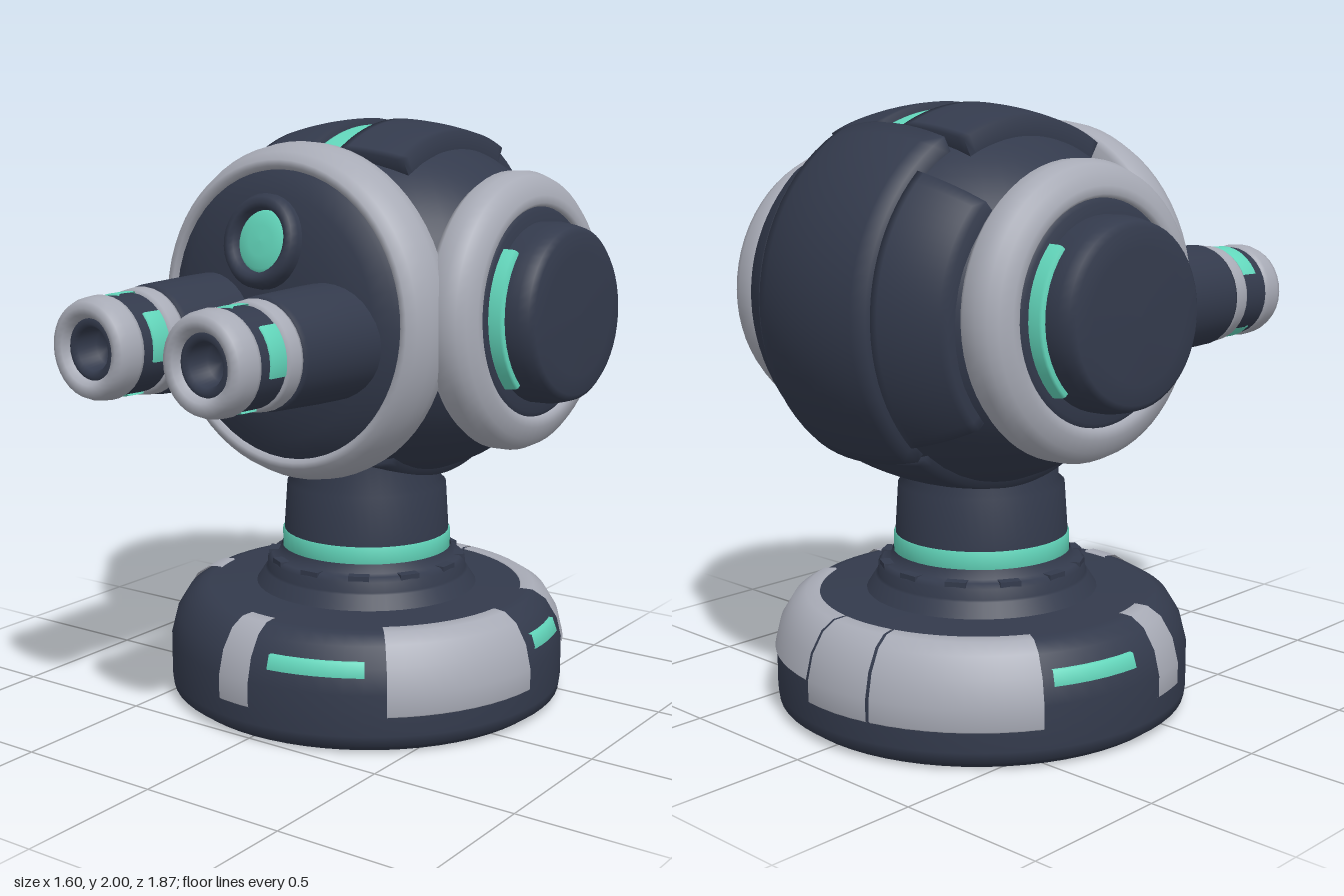
import * as THREE from 'three';

const mat = (name, color) => {
  const m = new THREE.MeshStandardMaterial({ color, side: THREE.DoubleSide });
  m.name = name;
  return m;
};
const rad = THREE.MathUtils.degToRad;

export function createModel() {
  const dark = mat('dark navy', 0x333a4c);
  const grey = mat('light grey', 0xa8abb6);
  const teal = mat('teal glow', 0x62d6bb);

  const add = (parent, name, geometry, material) => {
    const mesh = new THREE.Mesh(geometry, material);
    mesh.name = name;
    parent.add(mesh);
    return mesh;
  };
  const group = (parent, name) => {
    const g = new THREE.Group();
    g.name = name;
    parent.add(g);
    return g;
  };
  // Turned part from [radius, height] pairs; the optional angles in degrees cut a sector
  const turned = (pts, from = 0, to = 360, segs = 48) => new THREE.LatheGeometry(
    pts.map(p => new THREE.Vector2(p[0], p[1])),
    Math.max(4, Math.round(segs * (to - from) / 360)), rad(from), rad(to - from));

  // Raised shell plate on the head: x range, angle t from the top toward the back, rim turned inward
  const plate = (x0, x1, t0, t1, R, k, drop = 0.06) => {
    const nu = 12, nv = 24, pos = [], idx = [];
    const step = (i, n) => Math.min(1, Math.max(0, (i - 1) / (n - 2)));
    for (let j = 0; j <= nv; j++) for (let i = 0; i <= nu; i++) {
      const x = x0 + (x1 - x0) * step(i, nu);
      const t = t0 + (t1 - t0) * step(j, nv);
      const rim = i === 0 || j === 0 || i === nu || j === nv;
      const r = Math.sqrt(R * R - k * x * x) - (rim ? drop : 0);
      pos.push(x, r * Math.cos(t), -r * Math.sin(t));
    }
    for (let j = 0; j < nv; j++) for (let i = 0; i < nu; i++) {
      const a = j * (nu + 1) + i, b = a + 1, c = a + nu + 1, d = c + 1;
      idx.push(a, b, d, a, d, c);
    }
    const g = new THREE.BufferGeometry();
    g.setAttribute('position', new THREE.Float32BufferAttribute(pos, 3));
    g.setIndex(idx);
    g.computeVertexNormals();
    return g;
  };

  const root = new THREE.Group();
  root.name = 'turret';

  // Base with inlaid panels and lights
  const base = group(root, 'base');
  base.position.z = -0.18;
  add(base, 'baseBody', turned([[0, 0], [0.655, 0], [0.66, 0.01], [0.69, 0.025], [0.695, 0.06], [0.695, 0.2],
    [0.675, 0.28], [0.635, 0.345], [0.59, 0.372], [0.56, 0.376], [0.36, 0.385]], 0, 360, 64), dark);
  const greyPanels = [[-9.5, 1, 0.11], [40, 86, 0.12], [113, 171.5, 0.19], [172.5, 193.5, 0.12],
    [194.5, 240, 0.12], [278, 290, 0.12]];
  for (const [a, b, low] of greyPanels) add(base, 'basePanel', turned([[0.69, low], [0.701, low + 0.01],
    [0.701, 0.2], [0.681, 0.283], [0.64, 0.35], [0.594, 0.379], [0.55, 0.382], [0.545, 0.37]], a, b, 72), grey);
  for (const [a, b] of [[6.5, 34], [90, 108], [243, 269]])
    add(base, 'baseLight', turned([[0.675, 0.254], [0.69, 0.256], [0.674, 0.302], [0.655, 0.303]], a, b, 72), teal);

  // Stepped collar, glowing band and neck
  add(base, 'collar', turned([[0.4, 0.37], [0.385, 0.39], [0.36, 0.43], [0.352, 0.435], [0.35, 0.47],
    [0.335, 0.485], [0.31, 0.49], [0.3, 0.52]]), dark);
  for (let i = 0; i < 12; i++) {
    const a = i * Math.PI / 6;
    const bolt = add(base, 'collarBolt', new THREE.BoxGeometry(0.07, 0.018, 0.035), dark);
    bolt.position.set(0.328 * Math.sin(a), 0.481, 0.328 * Math.cos(a));
    bolt.rotation.y = a;
  }
  add(base, 'neckLight', turned([[0.28, 0.51], [0.296, 0.512], [0.296, 0.575], [0.28, 0.58]]), teal);
  add(base, 'neck', turned([[0.29, 0.56], [0.29, 0.59], [0.28, 0.745], [0.26, 0.76], [0.255, 0.9]]), dark);

  // Head, turned slightly to one side
  const head = group(root, 'head');
  head.position.set(0, 1.375, -0.28);
  head.rotation.y = -0.05;
  const core = add(head, 'headCore', new THREE.SphereGeometry(0.6, 48, 32), dark);
  core.scale.set(1.17, 1, 1.03);
  core.position.y = -0.01;
  add(head, 'backBand', plate(-0.26, 0.26, 0.5, 2.4, 0.645, 0.8), dark);
  add(head, 'chinPlate', plate(-0.27, 0.27, 2.42, 3.7, 0.615, 0.5), dark);
  for (const s of [-1, 1]) {
    const [a, b] = s > 0 ? [0.06, 0.31] : [-0.32, -0.06];
    add(head, 'topPlate', plate(a, b, -0.56, 0.47, 0.627, 0.5), dark);
    const [c, d] = s > 0 ? [0.27, 0.48] : [-0.48, -0.27];
    add(head, 'backSidePlate', plate(c, d, 0.75, 2.3, 0.637, 0.77), dark);
  }
  add(head, 'topLight', plate(-0.066, 0.066, -0.53, 0.48, 0.604, 0.5, 0.02), teal);

  // Face dome and its frame, turned about the forward axis
  const face = group(head, 'face');
  face.rotation.x = Math.PI / 2;
  add(face, 'faceFrame', turned([[0.47, 0.375], [0.54, 0.38], [0.556, 0.4], [0.56, 0.44], [0.552, 0.49],
    [0.53, 0.535], [0.505, 0.56], [0.485, 0.562], [0.472, 0.545], [0.47, 0.5]], 0, 360, 64), grey);
  add(face, 'faceDome', turned([[0.49, 0.53], [0.46, 0.56], [0.4, 0.592], [0.3, 0.618], [0.2, 0.632],
    [0.1, 0.638], [0, 0.64]]), dark);

  // Sensor eye
  const eye = group(head, 'eye');
  eye.position.set(-0.012, 0.245, 0.61);
  eye.rotation.x = Math.PI / 2 - 0.2;
  add(eye, 'eyeRim', turned([[0.155, -0.04], [0.153, 0.03], [0.14, 0.05], [0.12, 0.055], [0.105, 0.045],
    [0.1, 0.015]], 0, 360, 32), dark);
  add(eye, 'eyeLens', turned([[0.104, 0.015], [0.09, 0.027], [0.05, 0.033], [0, 0.035]], 0, 360, 32), teal);

  for (const s of [-1, 1]) {
    // Barrels
    const barrel = group(head, s > 0 ? 'leftBarrel' : 'rightBarrel');
    barrel.position.set(s * 0.235, -0.055, 0);
    barrel.rotation.x = Math.PI / 2;
    add(barrel, 'barrelSleeve', turned([[0.19, 0.5], [0.186, 0.7], [0.177, 0.915], [0.172, 0.928],
      [0.155, 0.93]], 0, 360, 32), dark);
    add(barrel, 'barrelBand', turned([[0.15, 0.928], [0.168, 0.932], [0.172, 0.945], [0.168, 0.985],
      [0.163, 0.995], [0.15, 0.997]], 0, 360, 32), grey);
    add(barrel, 'barrelCore', turned([[0.157, 0.98], [0.155, 1.13]], 0, 360, 32), dark);
    for (const [a, b] of [[175, 242], [76, 134], [-45, 15]])
      add(barrel, 'barrelLight', turned([[0.155, 0.997], [0.163, 1.0], [0.162, 1.065], [0.155, 1.068]], a, b), teal);
    add(barrel, 'muzzle', turned([[0.15, 1.105], [0.16, 1.11], [0.164, 1.125], [0.16, 1.17], [0.15, 1.195],
      [0.13, 1.205], [0.11, 1.2], [0.097, 1.18], [0.095, 1.16]], 0, 360, 32), grey);
    add(barrel, 'bore', turned([[0.098, 1.175], [0.08, 1.185], [0.068, 1.17], [0.06, 1.1], [0, 1.1]],
      0, 360, 32), dark);

    // Side hubs, tipped slightly upward
    const hub = group(head, s > 0 ? 'leftHub' : 'rightHub');
    hub.position.y = -0.014;
    hub.rotation.z = -s * (Math.PI / 2 - 0.035);
    add(hub, 'hubRing', turned([[0.4, 0.48], [0.445, 0.5], [0.46, 0.525], [0.46, 0.575], [0.445, 0.61],
      [0.42, 0.633], [0.38, 0.65], [0.355, 0.65], [0.345, 0.64], [0.34, 0.6]], 0, 360, 64), grey);
    add(hub, 'hubSeat', turned([[0.35, 0.63], [0.33, 0.645], [0.28, 0.65]]), dark);
    add(hub, 'hubDisc', turned([[0.296, 0.64], [0.296, 0.7], [0.29, 0.735], [0.28, 0.77], [0.262, 0.784],
      [0.2, 0.79], [0, 0.795]]), dark);
    for (const a of [-45, 135]) add(hub, 'hubLight', turned([[0.318, 0.64], [0.314, 0.685], [0.308, 0.692],
      [0.29, 0.694]], a, a + 90, 64), teal);
  }
  return root;
}
